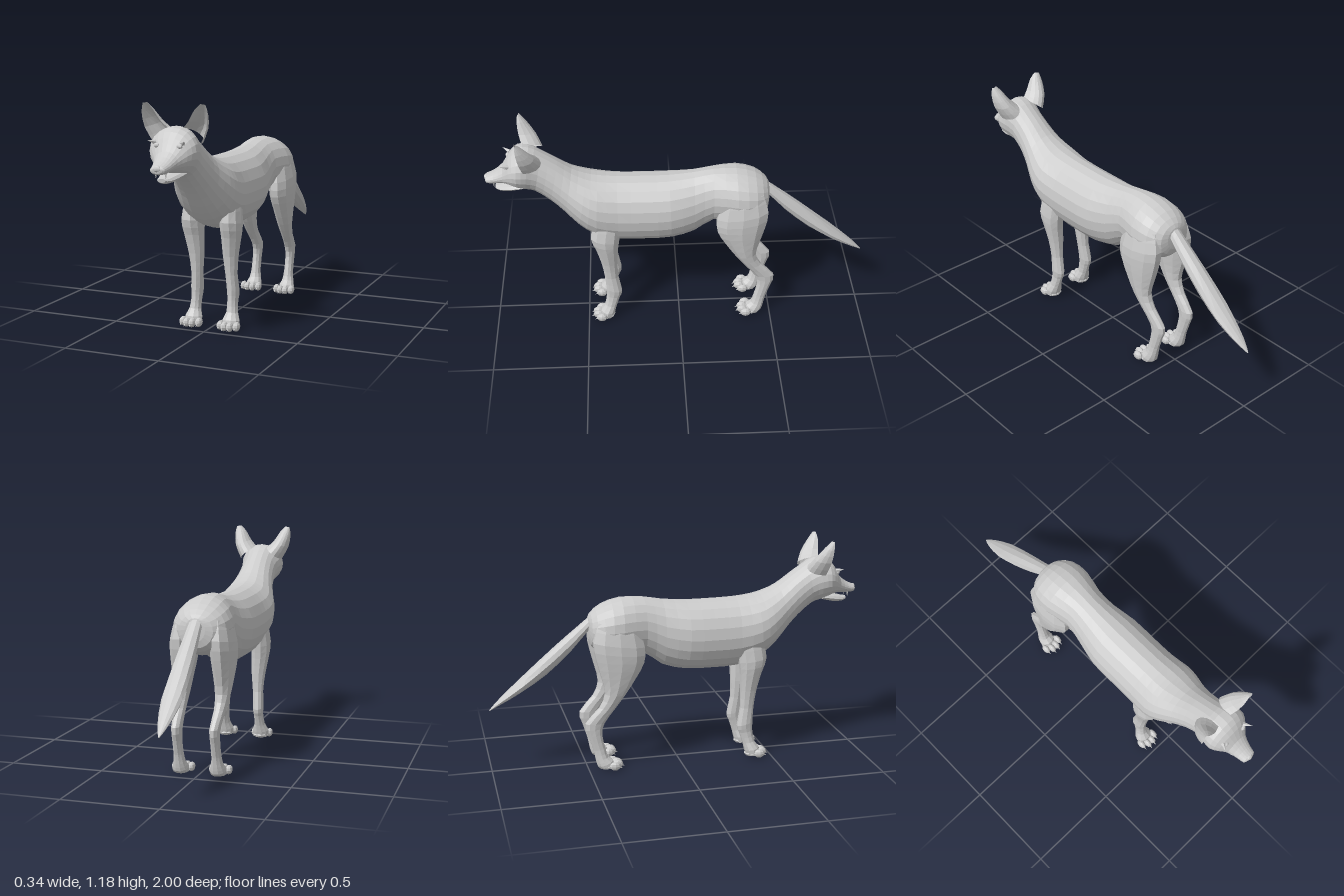
import * as THREE from 'three';

const grey = new THREE.MeshStandardMaterial({ color: 0xcccccc, flatShading: true });
const greyThin = new THREE.MeshStandardMaterial({ color: 0xcccccc, flatShading: true, side: THREE.DoubleSide });

// Catmull-Rom smoothing between cross-sections
function refine(rows, sub) {
  const at = (i) => rows[Math.min(Math.max(i, 0), rows.length - 1)];
  const out = [];
  for (let i = 0; i < rows.length - 1; i++) {
    for (let s = 0; s < sub; s++) {
      const t = s / sub;
      out.push(rows[i].map((b, k) => {
        const a = at(i - 1)[k], c = at(i + 1)[k], d = at(i + 2)[k];
        return b + 0.5 * t * (c - a + t * (2 * a - 5 * b + 4 * c - d + t * (3 * (b - c) + d - a)));
      }));
    }
  }
  out.push(at(rows.length));
  return out;
}

// Skin over oval rings. Each row: [zA, yA, zB, yB, halfWidth, xCentre],
// A and B being the two ends of the ring in the side plane.
function loft(name, rows, sides = 14, sub = 2, mirror = 1) {
  const rings = refine(rows.map((r) => [...r.slice(0, 5), (r[5] || 0) * mirror]), sub);
  const pos = [], idx = [];
  for (const [zA, yA, zB, yB, hw, xc] of rings) {
    for (let j = 0; j < sides; j++) {
      const a = (j / sides) * Math.PI * 2, s = Math.sin(a) / 2;
      pos.push(xc + hw * Math.cos(a), (yA + yB) / 2 + (yA - yB) * s, (zA + zB) / 2 + (zA - zB) * s);
    }
  }
  const n = rings.length;
  for (let i = 0; i < n - 1; i++) {
    for (let j = 0; j < sides; j++) {
      const k = (j + 1) % sides;
      const a = i * sides + j, b = i * sides + k;
      idx.push(a, b, b + sides, a, b + sides, a + sides);
    }
  }
  const e = (n - 1) * sides;
  for (let j = 1; j < sides - 1; j++) idx.push(0, j + 1, j, e, e + j, e + j + 1);
  const g = new THREE.BufferGeometry();
  g.setAttribute('position', new THREE.Float32BufferAttribute(pos, 3));
  g.setIndex(idx);
  g.computeVertexNormals();
  const m = new THREE.Mesh(g, grey);
  m.name = name;
  return m;
}

function blob(name, p, size) {
  const m = new THREE.Mesh(new THREE.SphereGeometry(1, 8, 6), grey);
  m.position.set(...p);
  m.scale.set(...size);
  m.name = name;
  return m;
}

function spike(name, p, dir, r, length) {
  const g = new THREE.ConeGeometry(r, length, 5).translate(0, length / 2, 0);
  const m = new THREE.Mesh(g, grey);
  m.position.set(...p);
  m.quaternion.setFromUnitVectors(new THREE.Vector3(0, 1, 0), new THREE.Vector3(...dir).normalize());
  m.name = name;
  return m;
}

// Cupped ear: rows of [inner edge, outer edge, cup depth]
function ear(side) {
  const rows = refine([
    [0.035, 1.06, 0.795, 0.122, 0.99, 0.785, 0.095],
    [0.072, 1.095, 0.81, 0.158, 1.06, 0.8, 0.08],
    [0.105, 1.148, 0.818, 0.168, 1.13, 0.81, 0.042],
    [0.135, 1.178, 0.815, 0.16, 1.174, 0.812, 0.008],
  ], 2);
  const cols = 8, pos = [], idx = [];
  for (const [ix, iy, iz, ox, oy, oz, depth] of rows) {
    for (let j = 0; j <= cols; j++) {
      const u = (1 - Math.cos((j / cols) * Math.PI)) / 2;
      const back = depth * Math.sin((j / cols) * Math.PI);
      pos.push(side * (ix + (ox - ix) * u), iy + (oy - iy) * u, iz + (oz - iz) * u - back);
    }
  }
  for (let i = 0; i < rows.length - 1; i++) {
    for (let j = 0; j < cols; j++) {
      const a = i * (cols + 1) + j, c = a + cols + 1;
      if (side > 0) idx.push(a, a + 1, c + 1, a, c + 1, c);
      else idx.push(a, c + 1, a + 1, a, c, c + 1);
    }
  }
  const g = new THREE.BufferGeometry();
  g.setAttribute('position', new THREE.Float32BufferAttribute(pos, 3));
  g.setIndex(idx);
  g.computeVertexNormals();
  const m = new THREE.Mesh(g, greyThin);
  m.name = side > 0 ? 'leftEar' : 'rightEar';
  return m;
}

// Four toes with claws
function paw(name, x, z) {
  const p = new THREE.Group();
  p.name = name;
  [-0.044, -0.015, 0.015, 0.044].forEach((dx, i) => {
    const zz = z + (i === 1 || i === 2 ? 0.012 : -0.006);
    p.add(blob('toe', [x + dx, 0.026, zz], [0.018, 0.024, 0.03]));
    p.add(spike('claw', [x + dx, 0.022, zz + 0.02], [0, -0.5, 1], 0.006, 0.022));
  });
  p.add(blob('pad', [x, 0.02, z - 0.04], [0.045, 0.018, 0.04]));
  return p;
}

export function createModel() {
  const model = new THREE.Group();
  model.name = 'wildDog';

  // Rump to nose in one skin
  model.add(loft('body', [
    [-0.475, 0.80, -0.475, 0.72, 0.02], [-0.46, 0.83, -0.465, 0.66, 0.09],
    [-0.40, 0.875, -0.41, 0.62, 0.14], [-0.30, 0.905, -0.31, 0.60, 0.15],
    [-0.18, 0.903, -0.18, 0.60, 0.122], [-0.08, 0.886, -0.08, 0.53, 0.13],
    [0.05, 0.873, 0.04, 0.50, 0.155], [0.18, 0.872, 0.18, 0.495, 0.157],
    [0.32, 0.875, 0.32, 0.50, 0.158], [0.42, 0.885, 0.44, 0.54, 0.166],
    [0.48, 0.90, 0.53, 0.61, 0.152], [0.55, 0.93, 0.60, 0.69, 0.124],
    [0.62, 0.98, 0.67, 0.76, 0.105], [0.70, 1.035, 0.745, 0.82, 0.10],
    [0.76, 1.068, 0.79, 0.835, 0.115], [0.82, 1.066, 0.83, 0.85, 0.12],
    [0.865, 1.025, 0.865, 0.862, 0.095], [0.90, 0.965, 0.90, 0.868, 0.062],
    [0.95, 0.925, 0.95, 0.865, 0.045], [0.985, 0.91, 0.985, 0.868, 0.037],
    [0.995, 0.90, 0.992, 0.88, 0.02],
  ], 20));

  model.add(loft('lowerJaw', [
    [0.80, 0.87, 0.80, 0.838, 0.06], [0.87, 0.862, 0.87, 0.82, 0.05],
    [0.92, 0.85, 0.92, 0.818, 0.035], [0.945, 0.846, 0.942, 0.826, 0.02],
  ], 10));
  model.add(blob('nose', [0, 0.896, 0.985], [0.022, 0.016, 0.015]));

  // Tail, tip to root
  model.add(loft('tail', [
    [-1.0, 0.343, -0.998, 0.338, 0.003], [-0.94, 0.405, -0.95, 0.365, 0.026],
    [-0.80, 0.53, -0.84, 0.425, 0.052], [-0.64, 0.67, -0.70, 0.515, 0.05],
    [-0.53, 0.76, -0.57, 0.63, 0.042], [-0.46, 0.815, -0.48, 0.73, 0.036],
    [-0.39, 0.86, -0.40, 0.79, 0.035],
  ], 10));

  for (const s of [1, -1]) {
    const side = s > 0 ? 'left' : 'right';
    model.add(ear(s));
    model.add(blob(side + 'Eye', [s * 0.058, 0.988, 0.873], [0.016, 0.012, 0.013]));
    model.add(spike(side + 'Brow', [s * 0.07, 1.0, 0.865], [s * 0.6, 0.35, 1], 0.012, 0.045));
    model.add(spike(side + 'Fang', [s * 0.025, 0.872, 0.95], [0, -1, 0], 0.006, 0.028));

    // Legs, top to bottom
    model.add(loft(side + 'FrontLeg', [
      [0.45, 0.66, 0.30, 0.66, 0.045, 0.10], [0.47, 0.56, 0.315, 0.54, 0.055, 0.105],
      [0.445, 0.48, 0.325, 0.47, 0.05, 0.102], [0.42, 0.38, 0.33, 0.38, 0.04, 0.095],
      [0.405, 0.28, 0.33, 0.28, 0.03, 0.095], [0.40, 0.20, 0.312, 0.18, 0.03, 0.1],
      [0.40, 0.15, 0.325, 0.14, 0.026, 0.1], [0.41, 0.09, 0.345, 0.08, 0.03, 0.103],
      [0.435, 0.055, 0.355, 0.04, 0.046, 0.104], [0.44, 0.02, 0.365, 0.008, 0.045, 0.104],
    ], 10, 2, s));
    model.add(paw(side + 'FrontPaw', s * 0.104, 0.435));

    model.add(loft(side + 'HindLeg', [
      [-0.22, 0.78, -0.44, 0.80, 0.05, 0.09], [-0.19, 0.66, -0.47, 0.70, 0.062, 0.103],
      [-0.195, 0.58, -0.455, 0.60, 0.06, 0.106], [-0.24, 0.50, -0.43, 0.51, 0.05, 0.108],
      [-0.30, 0.41, -0.41, 0.42, 0.04, 0.108], [-0.36, 0.33, -0.44, 0.345, 0.03, 0.105],
      [-0.41, 0.26, -0.515, 0.26, 0.026, 0.10], [-0.425, 0.20, -0.50, 0.19, 0.024, 0.10],
      [-0.41, 0.12, -0.475, 0.11, 0.025, 0.10], [-0.395, 0.07, -0.465, 0.06, 0.033, 0.10],
      [-0.37, 0.05, -0.455, 0.02, 0.043, 0.10], [-0.36, 0.018, -0.44, 0.006, 0.042, 0.10],
    ], 10, 2, s));
    model.add(paw(side + 'HindPaw', s * 0.10, -0.36));
  }
  return model;
}
